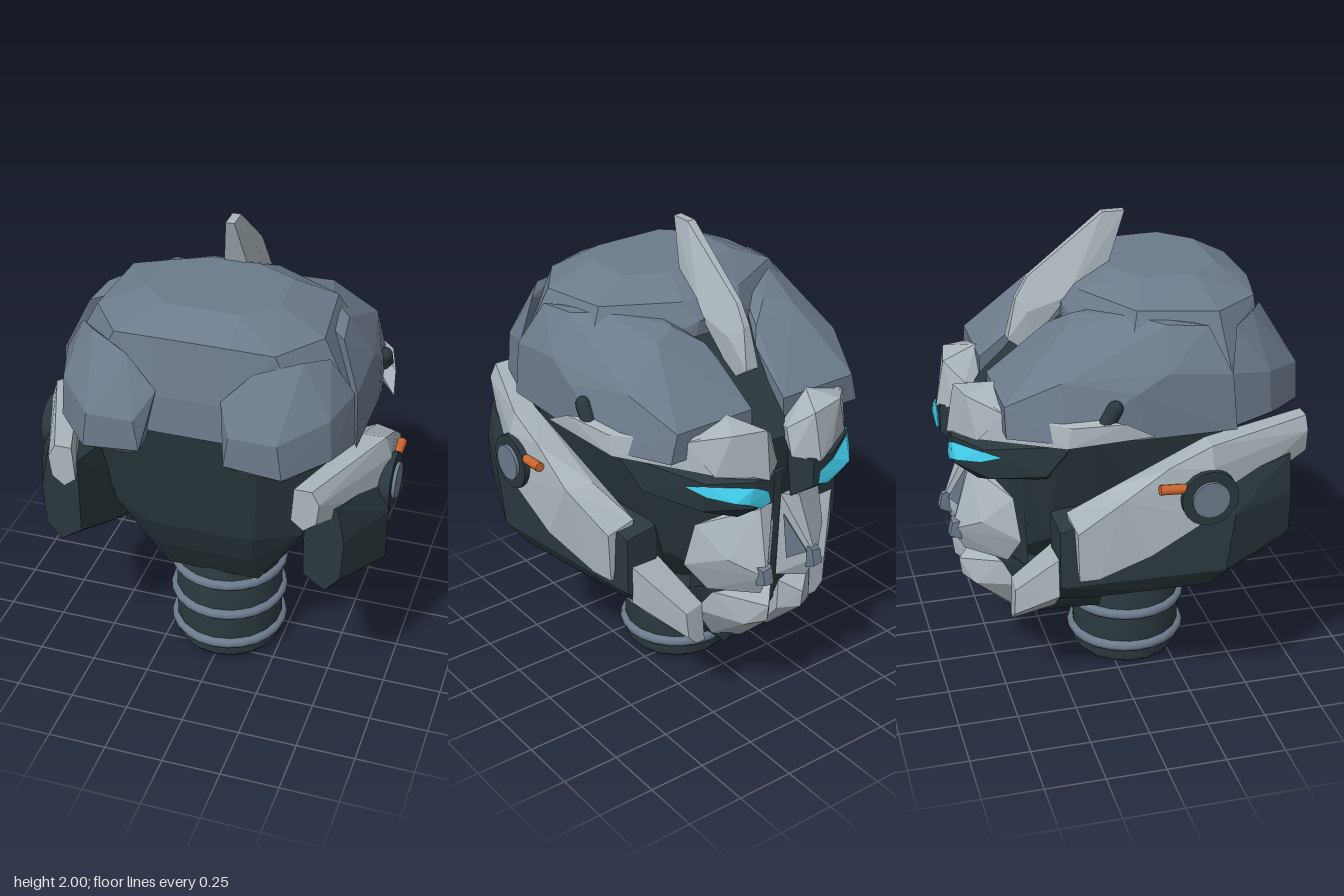
import * as THREE from 'three';
import { ConvexGeometry } from 'three/addons/geometries/ConvexGeometry.js';

const material = (name, color) => {
  const m = new THREE.MeshStandardMaterial({ color });
  m.name = name;
  return m;
};

export function createModel() {
  const dark = material('dark metal', 0x2a383e);
  const blueGrey = material('blue grey armour', 0x6d7b8c);
  const light = material('light steel', 0xabb6bd);
  const orange = material('orange', 0xcc6630);
  const cyan = material('cyan glow', 0x3fc6e4);

  const head = new THREE.Group();
  head.name = 'robotHead';

  const add = (name, geometry, mat, position = [0, 0, 0]) => {
    const mesh = new THREE.Mesh(geometry, mat);
    mesh.name = name;
    mesh.position.set(...position);
    head.add(mesh);
    return mesh;
  };
  // Faceted block wrapped around a few corner points
  const hull = (name, mat, points) =>
    add(name, new ConvexGeometry(points.map(p => new THREE.Vector3(...p))), mat);
  const flip = points => points.map(([x, y, z]) => [-x, y, z]);
  // One block spanning the middle, given by its +x half
  const middle = (name, mat, points) => hull(name, mat, [...points, ...flip(points)]);
  // Two separate blocks, one on each side
  const pair = (name, mat, points) => {
    hull(name + 'Left', mat, points);
    hull(name + 'Right', mat, flip(points));
  };

  // Neck with three rings
  const neckProfile = [[0, 0], [0.215, 0], [0.235, 0.025], [0.235, 0.6], [0, 0.6]];
  add('neck', new THREE.LatheGeometry(neckProfile.map(p => new THREE.Vector2(...p)), 18), dark, [0, 0, 0.095]);
  for (const y of [0.09, 0.25, 0.41]) {
    add('neckRing', new THREE.TorusGeometry(0.235, 0.023, 8, 24), blueGrey, [0, y, 0.095]).rotation.x = Math.PI / 2;
  }

  // Skull, jaw and the dark valley under the crest
  middle('skull', dark, [
    [0.2, 0.48, 0.32], [0.2, 0.65, 0.42], [0.32, 0.64, 0.3], [0.22, 0.8, 0.48], [0.4, 0.8, 0.38],
    [0.48, 0.8, 0.18], [0.28, 1.36, 0.57], [0.54, 1.3, 0.4], [0.58, 1.3, -0.2], [0.45, 0.8, -0.1],
    [0.25, 0.48, -0.1], [0.36, 0.75, -0.32], [0.54, 1.28, -0.32], [0.38, 1.08, -0.42],
    [0.08, 1.28, -0.54], [0.15, 0.6, -0.45],
  ]);
  middle('jaw', dark, [
    [0.18, 0.29, -0.07], [0.15, 0.29, -0.44], [0.22, 0.5, -0.03], [0.36, 0.55, -0.28],
    [0.28, 0.6, -0.42], [0.05, 0.6, -0.53], [0.05, 0.48, -0.53], [0.24, 0.36, -0.25],
  ]);
  middle('faceBase', dark, [
    [0.04, 1.1, -0.56], [0.015, 0.72, -0.55], [0.015, 0.5, -0.55], [0.3, 1.05, -0.42],
    [0.3, 0.6, -0.4], [0.06, 0.33, -0.42],
  ]);
  middle('foreheadValley', dark, [
    [0.2, 1.61, -0.18], [0.12, 1.5, -0.31], [0.1, 1.34, -0.49], [0.04, 1.26, -0.57], [0.2, 1.25, -0.3],
  ]);

  // Helmet: dome, front lobes and back lobes
  middle('helmetDome', blueGrey, [
    [0.15, 1.8, 0.42], [0.27, 1.8, 0.3], [0.26, 1.8, 0.08], [0.1, 1.8, 0],
    [0.15, 1.73, 0.56], [0.32, 1.71, 0.53], [0.46, 1.71, 0.34], [0.43, 1.73, 0.02], [0.14, 1.73, -0.14],
    [0.1, 1.66, -0.2], [0.15, 1.5, 0.6], [0.42, 1.5, 0.53], [0.56, 1.52, 0.36], [0.55, 1.5, -0.05],
    [0.15, 1.34, 0.61], [0.5, 1.28, 0.5], [0.6, 1.28, 0.36], [0.61, 1.28, -0.05], [0.2, 1.3, -0.18],
  ]);
  pair('helmetFrontLobe', blueGrey, [
    [0.08, 1.39, -0.51], [0.44, 1.39, -0.51], [0.08, 1.28, -0.51], [0.47, 1.27, -0.51],
    [0.095, 1.54, -0.31], [0.13, 1.6, -0.27], [0.23, 1.67, -0.19], [0.34, 1.64, -0.25], [0.52, 1.5, -0.3],
    [0.22, 1.68, -0.06], [0.58, 1.27, -0.3], [0.61, 1.27, 0], [0.605, 1.46, -0.02], [0.6, 1.53, 0.1],
    [0.5, 1.69, 0.12], [0.4, 1.705, 0], [0.61, 1.27, 0.38], [0.6, 1.5, 0.36], [0.52, 1.68, 0.28],
  ]);
  pair('helmetBackLobe', blueGrey, [
    [0.17, 1.3, 0.7], [0.4, 1.28, 0.7], [0.19, 1.43, 0.7], [0.38, 1.43, 0.7],
    [0.24, 1.23, 0.63], [0.4, 1.23, 0.62], [0.55, 1.3, 0.54], [0.54, 1.47, 0.53],
    [0.5, 1.66, 0.4], [0.42, 1.68, 0.49], [0.25, 1.65, 0.58], [0.13, 1.52, 0.6],
    [0.19, 1.27, 0.55], [0.6, 1.28, 0.37], [0.59, 1.5, 0.36],
  ]);

  // Swept-back crest
  middle('crest', light, [
    [0.018, 2, 0.08], [0.018, 2, -0.01], [0.05, 1.78, 0], [0.08, 1.68, -0.17],
    [0.012, 1.755, -0.32], [0.055, 1.62, -0.33], [0.015, 1.67, -0.37], [0.03, 1.5, -0.41], [0.04, 1.45, -0.34],
  ]);

  // Cheek guards
  pair('cheekGuard', dark, [
    [0.47, 1.13, 0.61], [0.6, 1.13, 0.61], [0.63, 0.98, 0.61], [0.62, 0.8, 0.61], [0.56, 0.73, 0.61],
    [0.47, 0.79, 0.61], [0.745, 0.97, 0.34], [0.735, 0.72, 0.31], [0.66, 0.62, 0.26], [0.6, 0.6, 0],
    [0.5, 0.53, -0.2], [0.42, 0.5, -0.33], [0.55, 0.62, -0.32], [0.55, 0.87, -0.32], [0.42, 0.9, -0.33],
    [0.3, 0.5, -0.28], [0.34, 0.56, 0], [0.42, 0.65, 0.3], [0.42, 1.02, 0.05], [0.7, 1.1, 0.3],
  ]);
  const guardJoint = [[0.6, 1.25, 0.25], [0.7, 1.255, 0.25], [0.725, 1.17, 0.25], [0.74, 0.97, 0.25], [0.6, 0.96, 0.25]];
  pair('cheekBarRear', light, [
    ...guardJoint, [0.45, 1.255, 0.7], [0.52, 1.255, 0.7], [0.55, 1.2, 0.7],
    [0.54, 1.11, 0.7], [0.49, 1.07, 0.7], [0.44, 1.11, 0.7],
  ]);
  pair('cheekBarFront', light, [
    ...guardJoint, [0.7, 1.18, 0.08], [0.69, 1.05, -0.1], [0.58, 1.06, -0.13], [0.71, 0.81, 0.01],
    [0.49, 0.93, -0.28], [0.6, 0.88, -0.26], [0.585, 0.66, -0.25], [0.45, 0.65, -0.24], [0.62, 0.68, -0.18],
  ]);
  pair('mandible', light, [
    [0.41, 0.76, -0.32], [0.53, 0.74, -0.32], [0.53, 0.57, -0.32], [0.47, 0.5, -0.33], [0.38, 0.5, -0.33],
    [0.29, 0.55, -0.47], [0.37, 0.53, -0.47], [0.36, 0.41, -0.475], [0.32, 0.37, -0.475], [0.28, 0.37, -0.475],
  ]);

  // Face plates ridged either side of a central valley, with inlays, knobs and chin
  pair('facePlate', light, [
    [0.02, 1.01, -0.58], [0.1, 0.99, -0.6], [0.32, 0.93, -0.46], [0.36, 0.75, -0.44], [0.27, 0.62, -0.48],
    [0.02, 0.62, -0.56], [0.12, 0.62, -0.635], [0.13, 0.72, -0.685], [0.25, 0.8, -0.58],
  ]);
  pair('noseInlay', blueGrey, [
    [0.025, 0.92, -0.594], [0.097, 0.75, -0.663], [0.041, 0.71, -0.601],
    [0.04, 0.91, -0.588], [0.11, 0.75, -0.65], [0.055, 0.72, -0.59],
  ]);
  pair('noseKnob', blueGrey, [
    [0.1, 0.775, -0.65], [0.155, 0.765, -0.65], [0.155, 0.68, -0.65], [0.105, 0.67, -0.65],
    [0.105, 0.765, -0.685], [0.15, 0.755, -0.685], [0.15, 0.7, -0.7], [0.105, 0.695, -0.7],
  ]);
  pair('chinPlate', light, [
    [0.02, 0.6, -0.58], [0.02, 0.46, -0.575], [0.09, 0.555, -0.655], [0.09, 0.48, -0.645],
    [0.26, 0.61, -0.5], [0.31, 0.52, -0.45], [0.03, 0.32, -0.46], [0.07, 0.3, -0.455],
    [0.2, 0.34, -0.42], [0.17, 0.47, -0.6],
  ]);

  // Eye sockets and brows
  pair('eyeSocket', dark, [
    [0.04, 1.2, -0.59], [0.1, 1.18, -0.68], [0.2, 1.18, -0.68], [0.36, 1.18, -0.58],
    [0.1, 1.06, -0.68], [0.2, 1.06, -0.675], [0.36, 1.05, -0.56], [0.06, 0.99, -0.59], [0.2, 0.98, -0.58],
    [0.5, 1.1, -0.36], [0.56, 1.25, -0.27], [0.42, 1.05, -0.34], [0.3, 1.27, -0.42],
  ]);
  pair('brow', light, [
    [0.035, 1.19, -0.62], [0.13, 1.17, -0.69], [0.04, 1.3, -0.58], [0.12, 1.37, -0.655], [0.27, 1.38, -0.63],
    [0.2, 1.4, -0.5], [0.4, 1.34, -0.5], [0.33, 1.21, -0.6], [0.2, 1.2, -0.67], [0.07, 1.28, -0.5],
  ]);
  pair('browTail', light, [
    [0.32, 1.21, -0.6], [0.28, 1.36, -0.6], [0.4, 1.34, -0.5], [0.44, 1.24, -0.45], [0.6, 1.26, -0.3],
    [0.6, 1.345, -0.28], [0.655, 1.365, -0.08], [0.675, 1.31, 0.03], [0.6, 1.29, -0.1],
  ]);

  // Glowing eyes, slanting down towards the nose
  pair('eye', cyan, [
    [0.13, 1.12, -0.685], [0.12, 1.07, -0.688], [0.17, 1.06, -0.69],
    [0.2, 1.155, -0.682], [0.24, 1.1, -0.693], [0.29, 1.115, -0.68],
    [0.35, 1.17, -0.59], [0.365, 1.13, -0.595], [0.42, 1.165, -0.515],
    [0.2, 1.12, -0.62], [0.36, 1.15, -0.53],
  ]);

  // Ear discs, orange pins and dark pegs on both sides
  for (const s of [1, -1]) {
    add('earDisc', new THREE.CylinderGeometry(0.115, 0.115, 0.09, 20), dark, [0.698 * s, 1.05, 0.235]).rotation.z = Math.PI / 2;
    add('earCap', new THREE.CylinderGeometry(0.075, 0.075, 0.06, 20), blueGrey, [0.727 * s, 1.05, 0.235]).rotation.z = Math.PI / 2;
    const pin = add('earPin', new THREE.CylinderGeometry(0.02, 0.02, 0.12, 10), orange, [0.722 * s, 1.1, 0.095]);
    pin.rotation.x = Math.PI / 2 + 0.06;
    const peg = add('browPeg', new THREE.CapsuleGeometry(0.032, 0.08, 3, 10), dark, [0.6 * s, 1.375, -0.13]);
    peg.rotation.x = 0.5;
  }
  return head;
}
